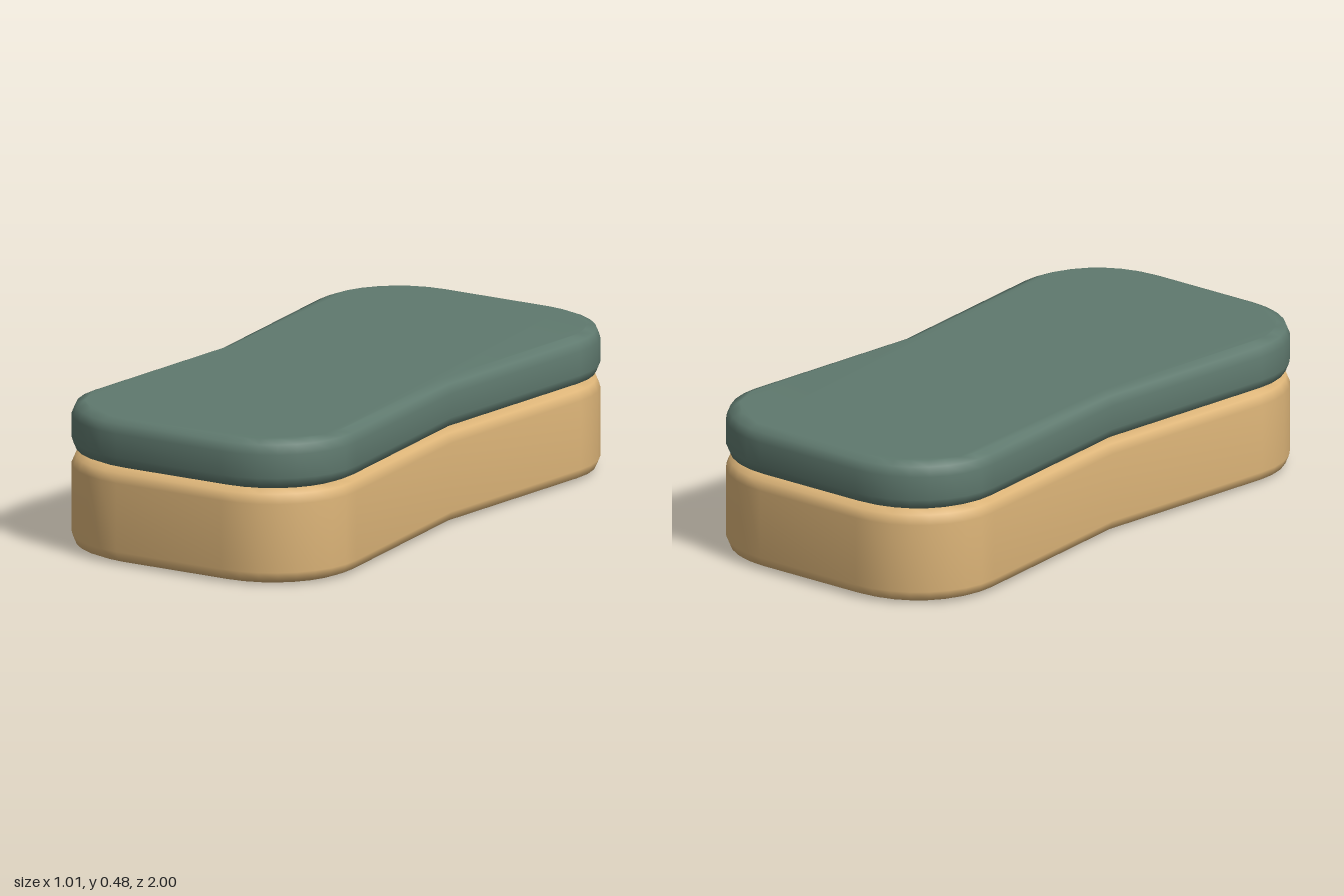
import * as THREE from 'three';
import { mergeVertices } from 'three/addons/utils/BufferGeometryUtils.js';

const BEVEL = 0.043;

// Waisted outline: four rounded corners joined by straight lines to a narrow middle
function outline() {
  const points = [];
  const steps = 8;
  for (const [sx, sy] of [[1, 1], [-1, 1], [-1, -1], [1, -1]]) {
    const corner = [];
    for (let i = 0; i <= steps; i++) {
      const a = -0.1 + (i / steps) * (Math.PI / 2 + 0.1);
      corner.push(new THREE.Vector2(sx * (0.2 + 0.308 * Math.cos(a)), sy * (0.7 + 0.3 * Math.sin(a))));
    }
    if (sx * sy < 0) corner.reverse();
    // Waist point before the right-hand upper and left-hand lower corners
    if (sx * sy > 0) points.push(new THREE.Vector2(sx * 0.44, 0));
    points.push(...corner);
  }
  return new THREE.Shape(points);
}

// Softly rounded slab between two heights
function slab(name, bottom, top, material) {
  let geometry = new THREE.ExtrudeGeometry(outline(), {
    depth: top - bottom - 2 * BEVEL,
    bevelThickness: BEVEL,
    bevelSize: BEVEL,
    bevelOffset: -BEVEL,
    bevelSegments: 2,
  });
  geometry.rotateX(-Math.PI / 2);
  geometry.translate(0, bottom + BEVEL, 0);
  // Shared vertices give smooth normals all round
  geometry.deleteAttribute('uv');
  geometry.deleteAttribute('normal');
  geometry.clearGroups();
  geometry = mergeVertices(geometry, 1e-4);
  geometry.computeVertexNormals();
  const mesh = new THREE.Mesh(geometry, material);
  mesh.name = name;
  return mesh;
}

export function createModel() {
  const model = new THREE.Group();
  model.name = 'sponge';
  const foam = new THREE.MeshStandardMaterial({ color: 0xdcb478 });
  foam.name = 'tan foam';
  const scourer = new THREE.MeshStandardMaterial({ color: 0x5f796e });
  scourer.name = 'green scourer';

  model.add(slab('foamBody', 0, 0.314, foam));
  model.add(slab('scouringPad', 0.314, 0.478, scourer));
  return model;
}
